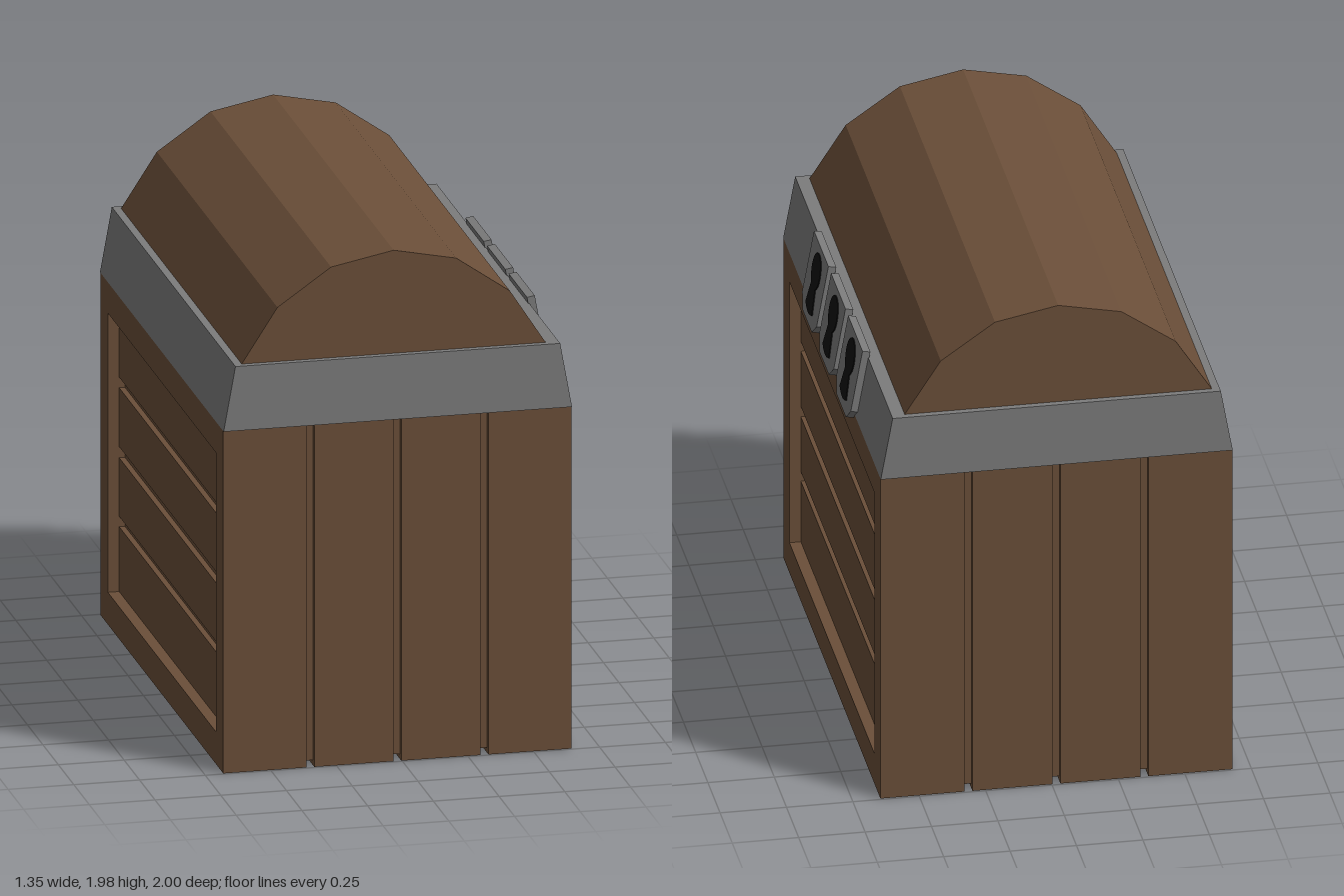
import * as THREE from 'three';

const wood = new THREE.MeshStandardMaterial({ color: 0x6b4f39, flatShading: true });
const metal = new THREE.MeshStandardMaterial({ color: 0x7c7c7c, flatShading: true });
const black = new THREE.MeshStandardMaterial({ color: 0x101010, flatShading: true });

const polygon = (pts) => new THREE.Shape(pts.map(([x, y]) => new THREE.Vector2(x, y)));
const rect = (w, y0, y1) => polygon([[-w, y0], [w, y0], [w, y1], [-w, y1]]);
const extrude = (shape, depth) =>
  new THREE.ExtrudeGeometry(shape, { depth, bevelEnabled: false, curveSegments: 10 });

function add(parent, name, geometry, material) {
  const mesh = new THREE.Mesh(geometry, material);
  mesh.name = name;
  parent.add(mesh);
  return mesh;
}

function box(parent, name, x0, x1, y0, y1, halfZ) {
  const mesh = add(parent, name, new THREE.BoxGeometry(x1 - x0, y1 - y0, halfZ * 2), wood);
  mesh.position.set((x0 + x1) / 2, (y0 + y1) / 2, 0);
}

export function createModel() {
  const group = new THREE.Group();
  group.name = 'chest';
  const chest = new THREE.Group();
  chest.name = 'chestParts';
  chest.position.x = -0.0175;
  group.add(chest);

  const W = 0.6625, H = 1.33, Z = 0.993;
  const pitch = W / 2, gap = 0.015;

  // Core behind the planks: the floor of every groove
  box(chest, 'core', -W + 0.065, W - 0.065, 0.02, H, Z - 0.022);

  // Two middle planks wrapping ends and bottom
  box(chest, 'middlePlank', -pitch + gap, -gap, 0, H, Z);
  box(chest, 'middlePlank', gap, pitch - gap, 0, H, Z);

  // Each long side: framed outer plank with four recessed boards
  for (const side of [-1, 1]) {
    const frame = rect(Z, 0, H);
    frame.holes.push(rect(0.873, 0.125, 1.21));
    const geo = extrude(frame, W - pitch - gap);
    geo.rotateY(side * Math.PI / 2);
    geo.translate(side * (pitch + gap), 0, 0);
    add(chest, 'sideFrame', geo, wood);
    const edges = [[0.12, 0.377], [0.417, 0.645], [0.688, 0.917], [0.958, 1.215]];
    for (const [y0, y1] of edges) {
      const a = side * (W - 0.1), b = side * (W - 0.043);
      box(chest, 'sideBoard', Math.min(a, b), Math.max(a, b), y0, y1, 0.875);
    }
  }

  // Tapered metal band
  const band = extrude(polygon([[-W, H], [W, H], [0.6175, 1.58], [-0.6175, 1.58]]), 2);
  add(chest, 'metalBand', band.translate(0, 0, -1), metal);

  // Faceted barrel lid
  const arc = [[0.578, 1.5], [0.578, 1.58], [0.442, 1.79], [0.238, 1.932], [0, 1.98]];
  const left = arc.slice(0, -1).reverse().map(([x, y]) => [-x, y]);
  const lid = extrude(polygon([...arc, ...left]), 1.95);
  add(chest, 'lid', lid.translate(-0.01, 0, -0.975), wood);

  // Three lock plates leaning with the band on the right-hand view side
  const plate = polygon([[-0.148, 0.15], [-0.148, -0.1], [-0.095, -0.15],
    [0.095, -0.15], [0.148, -0.1], [0.148, 0.15]]);
  const keyhole = new THREE.Shape();
  keyhole.moveTo(0.037, -0.004);
  keyhole.absarc(0, 0.055, 0.07, -1.013, Math.PI + 1.013, false);
  keyhole.lineTo(-0.063, -0.098);
  keyhole.quadraticCurveTo(0, -0.128, 0.063, -0.098);
  const lean = (geo) => geo.rotateY(Math.PI / 2).rotateZ(Math.atan2(0.045, 0.25));
  for (const z of [-0.35, 0, 0.35]) {
    const lock = new THREE.Group();
    lock.name = 'lock';
    lock.position.set(0.636, 1.456, z);
    add(lock, 'lockPlate', lean(extrude(plate, 0.03)), metal);
    add(lock, 'keyhole', lean(extrude(keyhole, 0.034)), black);
    chest.add(lock);
  }
  return group;
}
